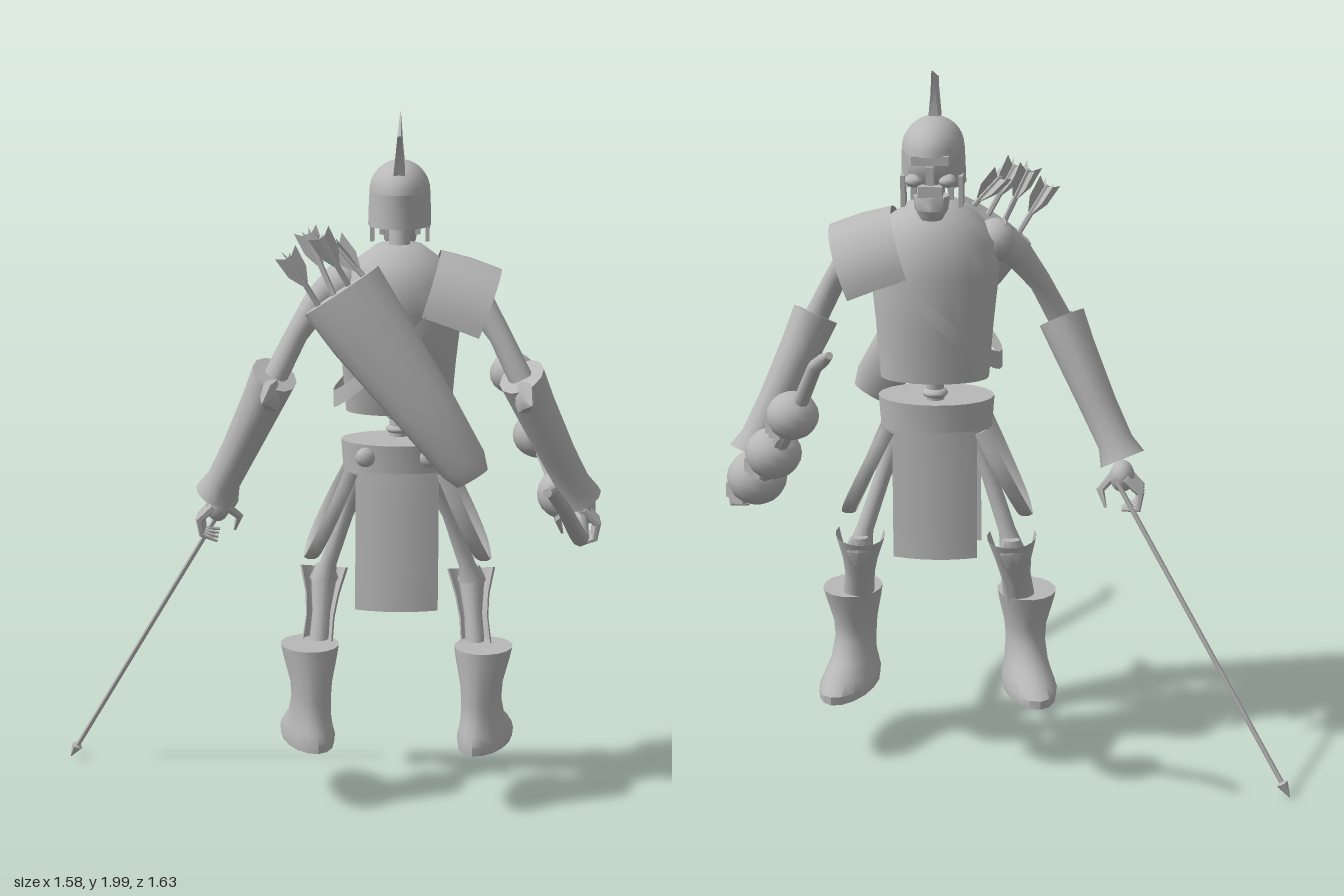
import * as THREE from 'three';
import { toCreasedNormals } from 'three/addons/utils/BufferGeometryUtils.js';

const stone = new THREE.MeshStandardMaterial({ color: 0xb8b8b8, side: THREE.DoubleSide });
stone.name = 'stoneGrey';
const V = (x, y, z) => new THREE.Vector3(x, y, z);
const CX = 0.2; // body centre line; the figure faces -z

// Sweep of elliptical rings; each row is [x, y, z, ru, rv]
function sweep(rows, { ref = V(1, 0, 0), seg = 12, start = 0, arc = Math.PI * 2, cap = true, up = null } = {}) {
  const list = cap ? [[...rows[0].slice(0, 3), 0, 0], ...rows, [...rows.at(-1).slice(0, 3), 0, 0]] : rows;
  const at = i => V(...rows[Math.max(0, Math.min(rows.length - 1, i))].slice(0, 3));
  const pos = [], idx = [];
  list.forEach((r, k) => {
    const i = Math.max(0, Math.min(rows.length - 1, cap ? k - 1 : k));
    const t = up ? up.clone() : at(i + 1).sub(at(i - 1)).normalize();
    const u = ref.clone().addScaledVector(t, -ref.dot(t)).normalize();
    const v = t.clone().cross(u);
    for (let j = 0; j <= seg; j++) {
      const a = start + arc * j / seg;
      const p = V(r[0], r[1], r[2]).addScaledVector(u, Math.cos(a) * r[3]).addScaledVector(v, Math.sin(a) * (r[4] ?? r[3]));
      pos.push(p.x, p.y, p.z);
    }
  });
  for (let i = 0; i < list.length - 1; i++) for (let j = 0; j < seg; j++) {
    const a = i * (seg + 1) + j, c = a + seg + 1;
    idx.push(a, a + 1, c, a + 1, c + 1, c);
  }
  const g = new THREE.BufferGeometry();
  g.setAttribute('position', new THREE.Float32BufferAttribute(pos, 3));
  g.setIndex(idx);
  return g;
}
const UP = V(0, 1, 0);
const ball = (x, y, z, a, b = a, c = a) => new THREE.SphereGeometry(1, 14, 10).scale(a, b, c).translate(x, y, z);
const box = (x, y, z, w, h, d) => new THREE.BoxGeometry(w, h, d).translate(x, y, z);

export function createModel() {
  const model = new THREE.Group();
  const add = (name, geo, parent = model) => {
    const m = new THREE.Mesh(toCreasedNormals(geo, 0.8), stone);
    m.name = name;
    parent.add(m);
    return m;
  };

  // Torso, spine, pelvis and belt
  add('torso', sweep([[CX, 1.15, -.145, .15, .085], [CX, 1.3, -.125, .162, .125], [CX, 1.45, -.108, .178, .152],
    [CX, 1.53, -.1, .172, .148], [CX, 1.59, -.1, .125, .12], [CX, 1.635, -.1, .065, .07]], { up: UP, seg: 20 }));
  add('spine', sweep([[CX, .95, -.12, .025], [CX, 1.2, -.14, .025]]));
  for (const y of [1.1, 1.14]) add('vertebra', ball(CX, y, -.135, .036, .016, .036));
  add('pelvis', ball(CX, .95, -.1, .13, .06, .08));
  add('belt', sweep([[CX, .99, -.09, .155, .105], [CX, 1.08, -.09, .162, .11]], { up: UP, seg: 20 }));
  for (const d of [-.09, .09]) add('beltStud', ball(CX + d, 1.045, .005, .028, .028, .02));

  // Diagonal strap following the chest
  const strap = new THREE.CylinderGeometry(1, 1, .05, 28, 1, true).scale(.185, 1, .165);
  const sp = strap.attributes.position;
  for (let i = 0; i < sp.count; i++) sp.setY(i, sp.getY(i) + 1.36 + sp.getX(i) * .9);
  add('chestStrap', strap.translate(CX, 0, -.11));

  // Hanging cloths, slightly curved
  for (const [name, z0, lean, y0, y1, sgn] of [['backCloth', .015, .03, 1, .605, 1], ['frontCloth', -.195, -.01, 1, .63, -1]]) {
    const g = new THREE.PlaneGeometry(.235, y0 - y1, 6, 4), p = g.attributes.position;
    for (let i = 0; i < p.count; i++) {
      const k = .5 - p.getY(i) / (y0 - y1);
      p.setZ(i, z0 + lean * k - sgn * p.getX(i) ** 2 * 1.6);
    }
    add(name, g.translate(CX, (y0 + y1) / 2, 0));
  }

  // Neck, skull and jaw
  add('neck', sweep([[CX, 1.6, -.1, .03], [CX, 1.72, -.12, .03]]));
  add('skull', ball(CX, 1.76, -.135, .075, .09, .115));
  add('brow', box(CX, 1.775, -.235, .1, .025, .03));
  add('nose', box(CX, 1.735, -.24, .022, .05, .03));
  add('upperTeeth', box(CX, 1.69, -.225, .065, .03, .05));
  add('jaw', sweep([[CX, 1.605, -.2, .028, .025], [CX, 1.635, -.2, .045, .045], [CX, 1.67, -.19, .05, .045]], { up: UP, seg: 8 }));
  for (const s of [-1, 1]) {
    add('cheekbone', ball(CX + s * .045, 1.715, -.215, .025, .018, .03));
    add('jawHinge', box(CX + s * .05, 1.69, -.165, .015, .07, .03));
  }

  // Helmet dome, open-faced skirt and crest
  add('helmetDome', new THREE.SphereGeometry(1, 20, 8, 0, Math.PI * 2, 0, Math.PI / 2).scale(.085, .085, .14).translate(CX, 1.785, -.12));
  add('helmetSkirt', sweep([[CX, 1.69, -.105, .088, .12], [CX, 1.74, -.115, .087, .132], [CX, 1.785, -.12, .085, .14]],
    { up: UP, seg: 18, cap: false, start: Math.PI / 2 + .75, arc: Math.PI * 2 - 1.5 }));
  for (const s of [-1, 1]) add('cheekGuard', box(CX + s * .078, 1.68, -.165, .012, .085, .06));
  const crestShape = new THREE.Shape([[.035, 1.95], [.01, 1.93], [-.02, 1.8], [-.115, 1.85], [-.11, 1.93], [-.15, 2]].map(p => new THREE.Vector2(...p)));
  const crest = new THREE.ExtrudeGeometry(crestShape, { depth: .04, bevelEnabled: false }).translate(0, 0, -.02).rotateY(-Math.PI / 2);
  const cp = crest.attributes.position;
  for (let i = 0; i < cp.count; i++) cp.setX(i, CX + cp.getX(i) * Math.max(.05, (2 - cp.getY(i)) / .2));
  add('crest', crest);

  // Shoulder plate on one side
  add('shoulderPlate', sweep([[.27, 1.465, -.11, .15, .16], [.35, 1.44, -.11, .158, .165], [.43, 1.41, -.11, .165, .165]],
    { ref: V(0, 0, 1), seg: 14, start: Math.PI - .1, arc: Math.PI + .2, cap: false }));

  // Limbs, mirrored about the body
  for (const s of [-1, 1]) {
    const X = d => CX + s * d;
    const rows = list => list.map(([d, ...r]) => [X(d), ...r]);
    const side = new THREE.Group();
    side.name = s > 0 ? 'leftLimbs' : 'rightLimbs';
    model.add(side);
    const part = (name, list, opt) => add(name, sweep(rows(list), opt), side);

    // Arm
    add('shoulder', ball(X(.165), 1.52, -.075, .06, .06, .07), side);
    part('upperArm', [[.16, 1.54, -.08, .05], [.225, 1.48, -.06, .042], [.285, 1.39, -.02, .032], [.345, 1.27, 0, .034]]);
    part('bracer', [[.345, 1.28, .005, .066, .088], [.38, 1.2, -.02, .06, .082], [.45, 1.05, -.065, .052, .068],
      [.5, .95, -.1, .05, .06], [.52, .905, -.115, .065, .068]]);
    part('elbowSpike', [[.35, 1.23, .05, .03, .05], [.36, 1.24, .11, .02, .035], [.37, 1.23, .17, .002]], { seg: 6 });
    add('palm', ball(X(.52), .865, -.14, .035, .045, .045), side);
    for (let i = 0; i < 4; i++) {
      const z = -.105 - i * .026;
      part('finger', [[.53, .87, z, .013], [.572, .83, z - .005, .012], [.565, .785, z - .01, .01], [.52, .765 + i * .006, z - .012, .004]], { seg: 6 });
    }
    part('thumb', [[.5, .87, -.13, .014], [.46, .83, -.16, .012], [.475, .785, -.18, .004]], { seg: 6 });

    // Leg
    part('thighBone', [[.11, .96, -.1, .035], [.15, .85, -.12, .022], [.2, .7, -.145, .024], [.215, .64, -.15, .036]]);
    part('shinBone', [[.215, .64, -.15, .036], [.22, .56, -.115, .026], [.235, .35, -.04, .03]]);
    part('greave', [[.23, .47, -.07, .045, .045], [.222, .55, -.1, .042, .045], [.217, .61, -.13, .05, .05], [.213, .685, -.15, .07, .062]],
      { seg: 12, start: -.45, arc: Math.PI + .9, cap: false });
    part('kneeCap', [[.215, .6, -.165, .02], [.215, .645, -.175, .042, .03], [.213, .685, -.18, .025, .02]], { up: UP, seg: 8 });
    const boot = add('boot', sweep([[0, .19, -.075, .072, .158], [0, .215, -.075, .075, .16], [0, .245, -.06, .066, .138],
      [0, .275, -.04, .06, .1], [0, .33, -.022, .056, .082], [0, .38, -.022, .06, .08], [0, .455, -.035, .078, .092], [0, .485, -.04, .084, .096]],
      { up: UP, seg: 16 }), side);
    boot.position.x = X(.24);
    boot.rotation.y = -s * .25;

    // Hanging hip loop
    const curve = new THREE.CatmullRomCurve3([[.13, 1, 0], [.185, .87, .005], [.235, .76, -.03], [.25, .73, -.09], [.24, .77, -.15], [.19, .88, -.19], [.13, 1, -.18]]
      .map(p => V(X(p[0]), p[1], p[2])));
    add('hipLoop', sweep(curve.getPoints(18).map(p => [p.x, p.y, p.z, .02, .006]), { seg: 6 }), side);
  }

  // Quiver with spare arrows
  add('quiver', sweep([[.045, 1.535, .1, .122, .055], [.12, 1.425, .105, .115, .062], [.27, 1.22, .115, .09, .05],
    [.385, 1.055, .125, .068, .037], [.41, 1.015, .125, .05, .025]], { ref: V(1, .7, 0), seg: 14 }));
  [[-.1, 1.63, .12], [-.05, 1.685, .07], [-.01, 1.685, .13], [.03, 1.66, .09]].forEach(([x, y, z], i) => {
    const base = V(-.01 + i * .04, 1.48 + i * .03, .1), tail = V(x, y, z), dir = tail.clone().sub(base).normalize();
    add('spareShaft', sweep([[...base.toArray(), .008], [x, y, z, .008]], { seg: 6 }));
    for (const k of [0, 1]) {
      const vane = new THREE.Shape([[-.01, -.09], [-.03, -.05], [-.035, .015], [0, -.01], [.035, .015], [.03, -.05], [.01, -.09]].map(p => new THREE.Vector2(...p)));
      const m = add('fletching', new THREE.ShapeGeometry(vane).rotateY(k * Math.PI / 2 + .4));
      m.quaternion.setFromUnitVectors(UP, dir);
      m.position.copy(tail);
    }
  });

  // Arrow held in the hand
  const tip = V(-.8, .01, -.385), nock = V(-.3, .87, -.175), back = nock.clone().sub(tip).normalize();
  add('heldArrow', sweep([[...tip.toArray(), .001], [...tip.clone().addScaledVector(back, .045).toArray(), .017],
    [...tip.clone().addScaledVector(back, .05).toArray(), .007], [...nock.toArray(), .007]], { seg: 6 }));

  // Bow carried in the other hand, with three skulls on its front limb
  add('bow', sweep([[.59, 1.14, .81, .012], [.605, 1.12, .71, .017], [.64, 1.05, .59, .02], [.685, .94, .42, .023], [.71, .855, .15, .024], [.72, .84, -.07, .024],
    [.68, .87, -.25, .026], [.61, 1.01, -.44, .025], [.53, 1.17, -.59, .022], [.46, 1.34, -.71, .019], [.43, 1.375, -.76, .017], [.41, 1.4, -.81, .01]], { seg: 8 }));
  for (const [x, y, z, r] of [[.685, .885, -.255, .083], [.61, 1.02, -.445, .076], [.535, 1.175, -.6, .069]]) {
    const g = new THREE.Group();
    g.name = 'bowSkull';
    add('cranium', ball(0, 0, 0, 1, .92, 1), g);
    add('cheeks', box(0, -.5, .6, 1, .5, .7), g);
    add('skullJaw', box(0, -.85, .65, .7, .25, .55), g);
    g.position.set(x, y, z);
    g.rotation.y = 1.0;
    g.scale.setScalar(r);
    model.add(g);
  }
  return model;
}
